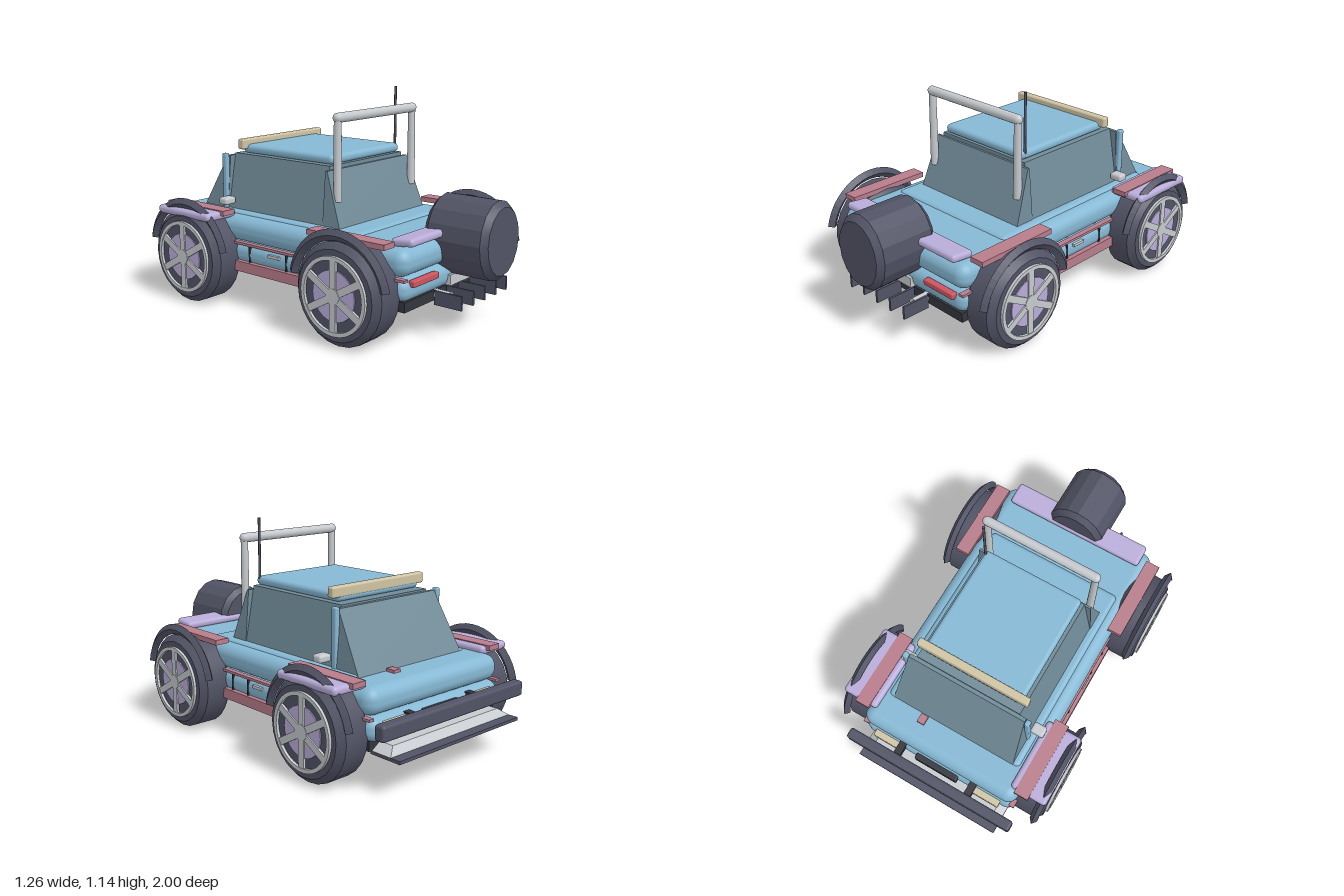
import * as THREE from 'three';
import { RoundedBoxGeometry } from 'three/addons/geometries/RoundedBoxGeometry.js';
import { toCreasedNormals } from 'three/addons/utils/BufferGeometryUtils.js';

const mat = (name, color) => {
  const m = new THREE.MeshStandardMaterial({ color });
  m.name = name;
  return m;
};

export function createModel() {
  const blue = mat('bodyBlue', 0x86b8d4), dark = mat('rubber', 0x515365), black = mat('chassisBlack', 0x34363e);
  const grey = mat('metal', 0xc6cace), pink = mat('trimPink', 0xb87d8b), purple = mat('lilac', 0xb9add9);
  const red = mat('lampRed', 0xcc5560), glass = mat('glass', 0x718c99), cream = mat('lampCream', 0xcfc4a4);

  const car = new THREE.Group();
  car.name = 'car';
  const add = (name, geo, material, x = 0, y = 0, z = 0, parent = car) => {
    const m = new THREE.Mesh(geo, material);
    m.name = name;
    m.position.set(x, y, z);
    parent.add(m);
    return m;
  };
  // Box from its limits; a radius rounds its edges
  const box = (name, material, [x0, x1], [y0, y1], [z0, z1], r = 0) => {
    const s = [x1 - x0, y1 - y0, z1 - z0];
    const geo = r ? new RoundedBoxGeometry(...s, 4, r) : new THREE.BoxGeometry(...s);
    return add(name, geo, material, (x0 + x1) / 2, (y0 + y1) / 2, (z0 + z1) / 2);
  };
  // Same box on both sides
  const pair = (name, material, [a, b], y, z, r) => {
    box(name + 'Left', material, [a, b], y, z, r);
    box(name + 'Right', material, [-b, -a], y, z, r);
  };
  // Box whose top is moved to a second rectangle
  const frustum = (name, material, y0, y1, low, high) => {
    const geo = new THREE.BoxGeometry(2, 2, 2), p = geo.attributes.position;
    for (let i = 0; i < p.count; i++) {
      const [hw, z0, z1] = p.getY(i) < 0 ? low : high;
      p.setXYZ(i, p.getX(i) * hw, p.getY(i) < 0 ? y0 : y1, p.getZ(i) < 0 ? z0 : z1);
    }
    geo.computeVertexNormals();
    return add(name, geo, material);
  };
  // Bevelled drum along y
  const drum = (r, h, bevel, sides) => toCreasedNormals(new THREE.LatheGeometry([
    [0, -h / 2], [r - bevel, -h / 2], [r, -h / 2 + bevel], [r, h / 2 - bevel], [r - bevel, h / 2], [0, h / 2],
  ].map(([x, y]) => new THREE.Vector2(x, y)), sides), 0.35);

  // Body and chassis
  box('chassis', black, [-0.45, 0.45], [0.19, 0.24], [-0.83, 0.75]);
  box('skidPlate', grey, [-0.32, 0.32], [0.172, 0.19], [-0.83, -0.6]);
  box('lowerBody', blue, [-0.465, 0.465], [0.225, 0.348], [-0.86, 0.755], 0.055);
  box('upperBody', blue, [-0.465, 0.465], [0.345, 0.48], [-0.85, 0.755], 0.06);
  box('tub', blue, [-0.405, 0.405], [0.4, 0.492], [-0.68, 0.43], 0.03);
  pair('sill', pink, [0.42, 0.482], [0.195, 0.25], [-0.42, 0.32]);
  pair('sideTrim', pink, [0.44, 0.47], [0.337, 0.35], [-0.85, 0.76]);
  pair('doorHandle', grey, [0.46, 0.475], [0.303, 0.318], [-0.09, -0.015]);
  for (const z of [0.16, 0.03, -0.23]) pair('doorGap', black, [0.455, 0.468], [0.245, 0.337], [z - 0.004, z + 0.004]);
  box('hoodLatch', pink, [0.145, 0.187], [0.47, 0.495], [-0.73, -0.68]);

  // Cabin
  frustum('cabinGlass', glass, 0.48, 0.785, [0.358, -0.49, 0.18], [0.3, -0.49, 0.18]);
  frustum('windscreen', glass, 0.48, 0.775, [0.365, -0.675, -0.49], [0.338, -0.51, -0.49]);
  frustum('rearGlass', glass, 0.48, 0.765, [0.36, 0.18, 0.295], [0.335, 0.18, 0.192]);
  box('roof', blue, [-0.285, 0.285], [0.787, 0.835], [-0.45, 0.18], 0.022);
  pair('windscreenPillar', blue, [0.342, 0.37], [0.48, 0.787], [-0.525, -0.492], 0.008);
  pair('mirror', grey, [0.36, 0.435], [0.52, 0.56], [-0.49, -0.43], 0.014);
  box('lightBar', cream, [-0.32, 0.32], [0.81, 0.865], [-0.452, -0.41], 0.01);
  add('antenna', new THREE.CylinderGeometry(0.007, 0.007, 0.34, 8), dark, 0.278, 0.97, 0.155);

  // Roll bar
  for (const s of [-1, 1]) {
    add('rollBarPost', new THREE.CylinderGeometry(0.019, 0.022, 0.42, 16), grey, s * 0.311, 0.825, 0.24);
    add('rollBarCorner', new THREE.SphereGeometry(0.025, 16, 10), grey, s * 0.311, 1.03, 0.24);
  }
  add('rollBarTop', new THREE.CylinderGeometry(0.025, 0.025, 0.622, 16), grey, 0, 1.03, 0.24).rotation.z = Math.PI / 2;

  // Wheels with arches and fenders
  const tyreGeo = drum(0.253, 0.195, 0.032, 24);
  const archGeo = new THREE.TorusGeometry(0.278, 0.028, 4, 20, Math.PI * 0.87).toNonIndexed();
  archGeo.rotateZ(Math.PI * 0.065);
  archGeo.scale(1, 1, 0.8);
  archGeo.computeVertexNormals();
  const ring = new THREE.Shape().absarc(0, 0, 0.192, 0, Math.PI * 2);
  ring.holes.push(new THREE.Path().absarc(0, 0, 0.172, 0, Math.PI * 2, true));
  const rimGeo = new THREE.ExtrudeGeometry(ring, { depth: 0.02, bevelEnabled: false, curveSegments: 24 });
  for (const s of [-1, 1]) for (const z of [0.47, -0.572]) {
    const wheel = new THREE.Group();
    wheel.name = 'wheel';
    wheel.position.set(s * 0.518, 0.255, z);
    wheel.rotation.y = s * Math.PI / 2;
    car.add(wheel);
    add('tyre', tyreGeo, dark, 0, 0, 0, wheel).rotation.x = Math.PI / 2;
    add('rim', rimGeo, grey, 0, 0, 0.092, wheel);
    add('brakeDisc', new THREE.CylinderGeometry(0.125, 0.125, 0.008, 24), purple, 0, 0, 0.099, wheel).rotation.x = Math.PI / 2;
    for (let i = 0; i < 3; i++) {
      add('spoke', new THREE.BoxGeometry(0.036, 0.36, 0.016), grey, 0, 0, 0.102, wheel).rotation.z = i * Math.PI / 3;
    }
    add('hub', new THREE.CylinderGeometry(0.04, 0.04, 0.02, 16), grey, 0, 0, 0.102, wheel).rotation.x = Math.PI / 2;
    const arch = add('wheelArch', archGeo, dark, s * 0.588, 0.26, z);
    arch.rotation.y = Math.PI / 2;
  }
  pair('rearFender', pink, [0.443, 0.523], [0.488, 0.515], [0.22, 0.685]);
  pair('frontFender', pink, [0.443, 0.523], [0.488, 0.515], [-0.8, -0.36]);
  pair('frontFenderPad', purple, [0.41, 0.615], [0.465, 0.51], [-0.78, -0.38], 0.02);

  // Spare wheel side
  const spare = add('spareWheel', drum(0.197, 0.35, 0.03, 16), dark, 0, 0.475, 0.82);
  spare.rotation.x = Math.PI / 2;
  spare.scale.x = 0.865;
  box('spoiler', purple, [-0.41, 0.41], [0.483, 0.523], [0.635, 0.76], 0.018).rotation.x = -0.1;
  pair('tailLamp', red, [0.205, 0.41], [0.304, 0.335], [0.74, 0.775], 0.006);
  box('numberPlate', grey, [-0.1, 0.1], [0.238, 0.292], [0.74, 0.77]);
  for (let i = -2; i <= 2; i++) {
    const x = i * 0.104;
    box('diffuserFin', dark, [x - 0.006, x + 0.006], [0.17, 0.24], [0.755, 0.905]);
  }
  for (const s of [-1, 1]) {
    add('exhaust', new THREE.CylinderGeometry(0.025, 0.025, 0.14, 16), grey, s * 0.188, 0.217, 0.76).rotation.x = Math.PI / 2;
  }

  // Bumper, lamps and splitter
  box('bumper', dark, [-0.505, 0.505], [0.28, 0.357], [-0.97, -0.912], 0.014);
  pair('bumperMount', black, [0.2, 0.24], [0.295, 0.335], [-0.92, -0.84]);
  pair('headLamp', cream, [0.21, 0.39], [0.27, 0.325], [-0.885, -0.84], 0.008);
  box('grille', black, [-0.13, 0.13], [0.265, 0.325], [-0.882, -0.84], 0.008);
  box('splitter', dark, [-0.43, 0.43], [0.174, 0.19], [-1, -0.82]);
  frustum('splitterWedge', grey, 0.19, 0.225, [0.43, -0.945, -0.82], [0.38, -0.91, -0.82]);
  return car;
}
